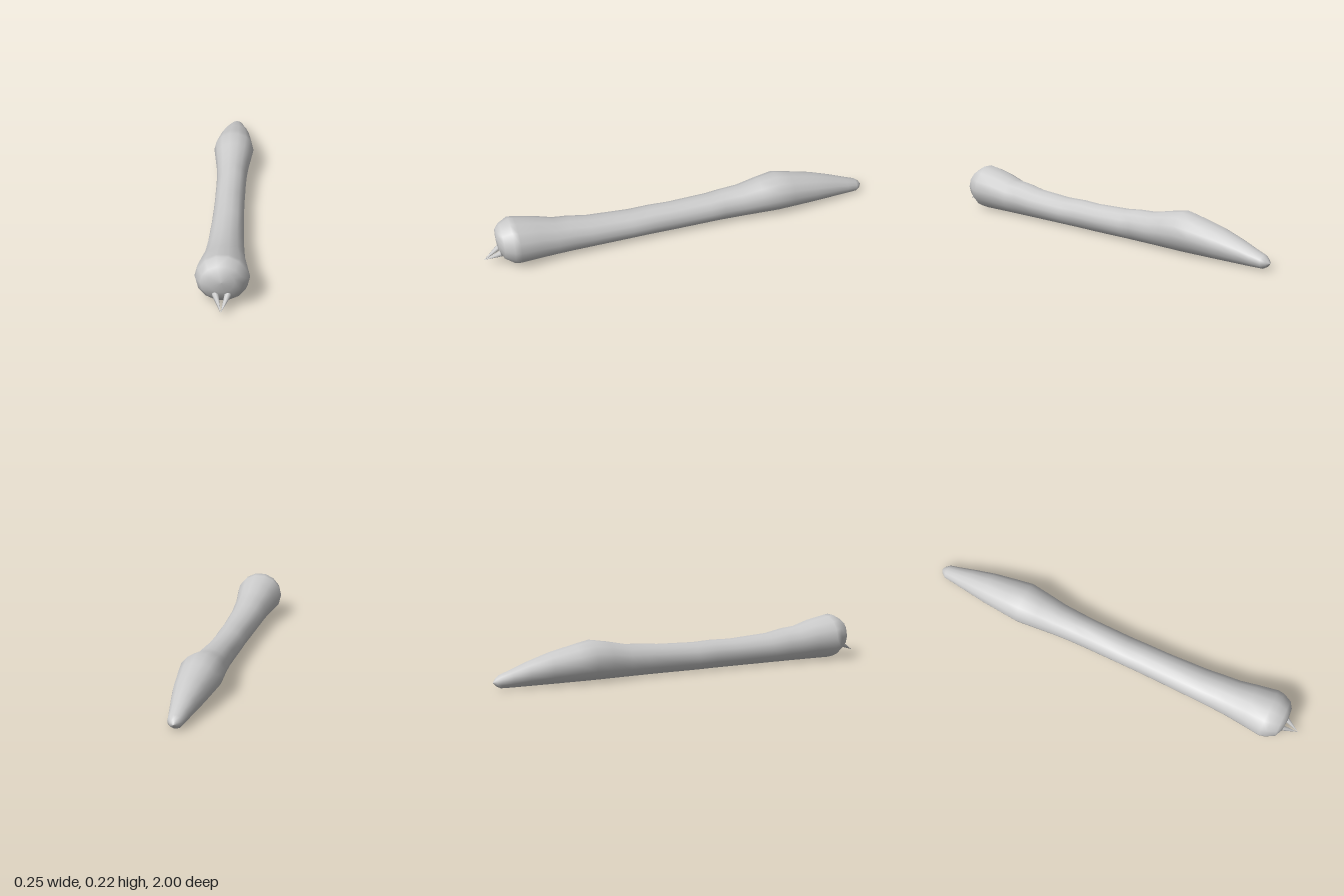
import * as THREE from 'three';

const SIDES = 14;

// Body stations from head to tail: z, bottom y, top y, half width
const STATIONS = [
  [0.93, 0.135, 0.135, 0],
  [0.925, 0.085, 0.185, 0.058],
  [0.905, 0.04, 0.2, 0.095],
  [0.86, 0.006, 0.224, 0.117],
  [0.83, 0.003, 0.219, 0.123],
  [0.73, 0.003, 0.201, 0.108],
  [0.64, 0.003, 0.175, 0.095],
  [0.57, 0.003, 0.169, 0.09],
  [0.47, 0.003, 0.151, 0.084],
  [0.26, 0.003, 0.139, 0.077],
  [0.15, 0.003, 0.142, 0.075],
  [0.05, 0.002, 0.138, 0.074],
  [-0.15, 0.003, 0.145, 0.075],
  [-0.22, 0.003, 0.153, 0.077],
  [-0.32, 0.003, 0.158, 0.083],
  [-0.42, 0.003, 0.179, 0.095],
  [-0.51, 0.003, 0.194, 0.105],
  [-0.59, 0.003, 0.178, 0.096],
  [-0.72, 0.003, 0.149, 0.08],
  [-0.83, 0.003, 0.115, 0.06],
  [-0.91, 0.003, 0.085, 0.045],
  [-0.965, 0.004, 0.066, 0.036],
  [-0.985, 0.014, 0.052, 0.021],
  [-1, 0.032, 0.032, 0],
];

// Skin the stations with elliptical rings; zero-size rings close both ends
function bodyGeometry() {
  const positions = [];
  const index = [];
  const crown = Math.sin((2 * Math.PI * 3) / SIDES); // highest corner of a ring
  STATIONS.forEach(([z, low, high, halfWidth], i) => {
    for (let j = 0; j < SIDES; j++) {
      const a = (2 * Math.PI * j) / SIDES;
      positions.push(
        halfWidth * Math.cos(a),
        (low + high) / 2 + (((high - low) / 2) * Math.sin(a)) / crown,
        z
      );
      if (i === 0) continue;
      const k = (j + 1) % SIDES;
      const p = (i - 1) * SIDES;
      const q = i * SIDES;
      if (i > 1) index.push(p + j, q + j, p + k);
      if (i < STATIONS.length - 1) index.push(p + k, q + j, q + k);
    }
  });
  const geometry = new THREE.BufferGeometry();
  geometry.setAttribute('position', new THREE.Float32BufferAttribute(positions, 3));
  geometry.setIndex(index);
  geometry.computeVertexNormals();
  return geometry;
}

// Pointed mouthpart running from the face to a shared tip
function makeFang(side, material) {
  const base = new THREE.Vector3(side * 0.028, 0.067, 0.912);
  const tip = new THREE.Vector3(0, 0.026, 0.998);
  const axis = tip.clone().sub(base);
  const fang = new THREE.Mesh(new THREE.ConeGeometry(0.016, axis.length(), 7), material);
  fang.position.copy(base).add(tip).multiplyScalar(0.5);
  fang.quaternion.setFromUnitVectors(new THREE.Vector3(0, 1, 0), axis.normalize());
  fang.name = side > 0 ? 'leftFang' : 'rightFang';
  return fang;
}

export function createModel() {
  const material = new THREE.MeshStandardMaterial({ color: 0xcccccc });
  const model = new THREE.Group();
  model.name = 'worm';

  const body = new THREE.Mesh(bodyGeometry(), material);
  body.name = 'body';
  model.add(body);

  for (const side of [1, -1]) model.add(makeFang(side, material));
  return model;
}
